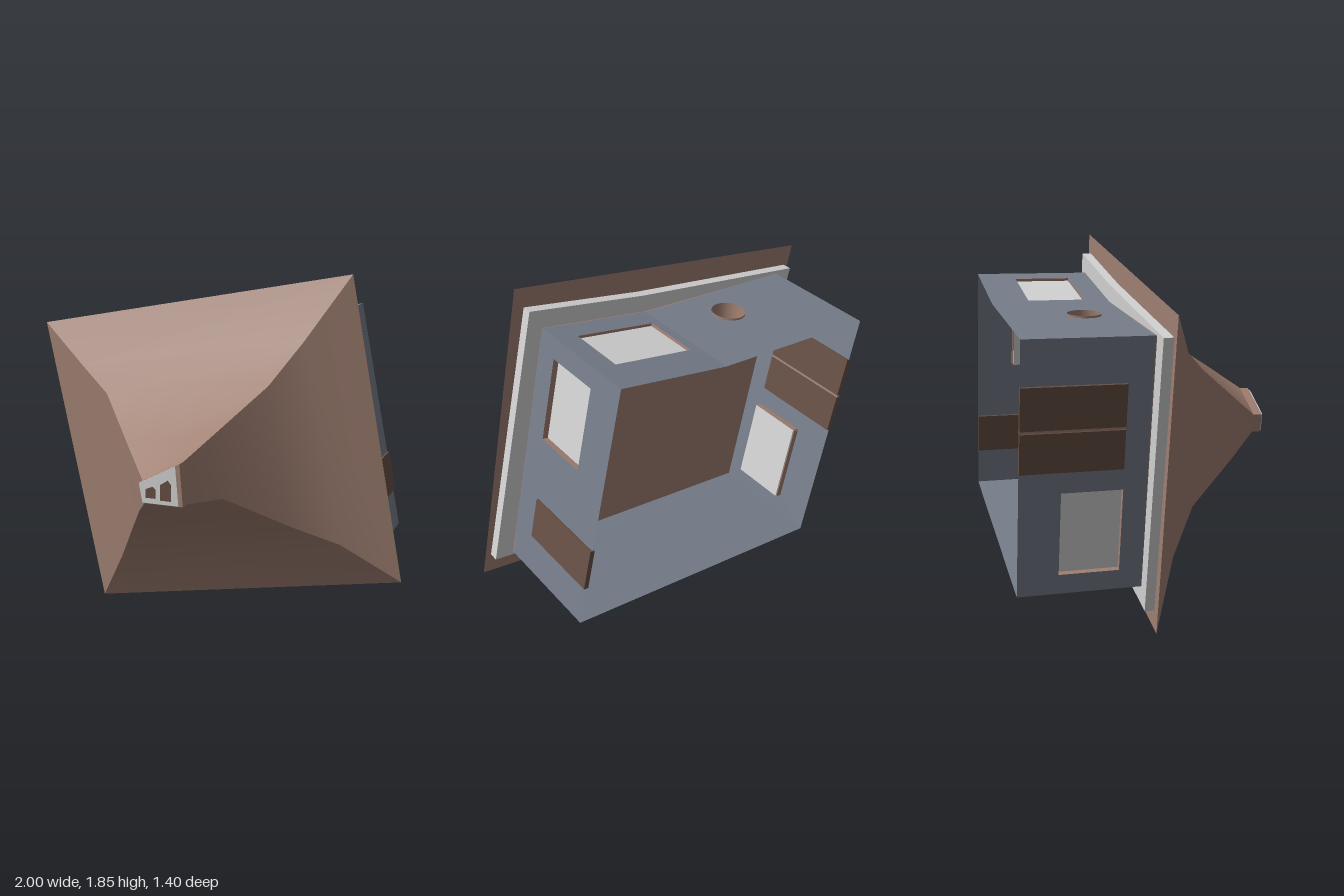
import * as THREE from 'three';

const mat = (name, color) => {
  const m = new THREE.MeshStandardMaterial({ color, side: THREE.DoubleSide });
  m.name = name;
  return m;
};

export function createModel() {
  const model = new THREE.Group();
  model.name = 'tippedHouse';
  const brown = mat('roof brown', 0xa08072);
  const grey = mat('wall grey', 0x767d8a);
  const light = mat('light grey', 0xd2d2d2);
  const dark = mat('shutter brown', 0x664f45);

  const add = (parent, name, geo, material) => {
    const m = new THREE.Mesh(geo, material);
    m.name = name;
    parent.add(m);
    return m;
  };
  const polygon = (pts) => new THREE.Shape(pts.map(([x, y]) => new THREE.Vector2(x, y)));
  // Flat-sided slab with an outline in x and y, between two depths
  const slab = (name, pts, z0, z1, material) => {
    const g = new THREE.ExtrudeGeometry(polygon(pts), { depth: z1 - z0, bevelEnabled: false });
    return add(model, name, g.translate(0, 0, z0), material);
  };

  // Roof: four curved corner lines, one sheet between each pair
  const levels = [-0.05, 0.09, 0.23, 0.5, 0.65];
  const hips = [
    [[-1, 1.54], [-0.71, 1.34], [-0.5, 1.23], [-0.25, 1.03], [-0.11, 0.92]],
    [[0.7, 1.85], [0.5, 1.53], [0.37, 1.33], [0.2, 1.14], [0.1, 1.03]],
    [[1, 0.31], [0.71, 0.52], [0.5, 0.63], [0.24, 0.825], [0.11, 0.825]],
    [[-0.69, 0], [-0.5, 0.31], [-0.37, 0.52], [-0.2, 0.715], [-0.09, 0.825]],
  ];
  hips.forEach((a, k) => {
    const b = hips[(k + 1) % 4];
    const pos = [], idx = [];
    levels.forEach((z, i) => {
      pos.push(...a[i], z, ...b[i], z);
      if (i) {
        const p = 2 * i - 2;
        idx.push(p, p + 2, p + 1, p + 1, p + 2, p + 3);
      }
    });
    const g = new THREE.BufferGeometry();
    g.setAttribute('position', new THREE.Float32BufferAttribute(pos, 3));
    g.setIndex(idx);
    g.computeVertexNormals();
    add(model, 'roofSide', g, brown);
  });
  add(model, 'roofUnderside', new THREE.ShapeGeometry(polygon(hips.map((h) => h[0]))), brown)
    .position.z = -0.05;

  // Block at the roof tip, with a light face and two dark marks
  slab('roofTip', [[-0.11, 0.92], [0.1, 1.03], [0.115, 0.825], [-0.09, 0.825]], 0.64, 0.695, brown);
  slab('tipFace', [[-0.105, 0.922], [0.08, 1.02], [0.095, 0.828], [-0.088, 0.828]], 0.695, 0.7, light);
  [[-0.045, 0.882, 0.025, 0.028], [0.032, 0.898, 0.027, 0.05]].forEach(([x, y, w, h]) =>
    slab('tipMark', [[x - w, y - h], [x + w, y - h], [x + w, y + h * 0.6],
      [x + w * 0.4, y + h], [x - w, y + h * 0.5]], 0.7, 0.703, dark));

  // Eaves board and the brown ceiling inside the open body
  slab('eavesBoard', [[0.95, 0.41], [0.66, 1.745], [0.03, 1.61], [-0.95, 1.44], [-0.66, 0.105]],
    -0.1, -0.052, light);
  const corners = [[0.85, 0.41], [0.6, 1.64], [0.02, 1.52], [-0.85, 1.44], [-0.6, 0.21]];
  slab('ceiling', corners, -0.106, -0.1, brown);

  // Walls: local x runs along the edge, local y is depth, local z points outward
  const makeWall = (k, name, holes = [], round = null) => {
    const [x0, y0] = corners[k], [x1, y1] = corners[(k + 1) % 5];
    const len = Math.hypot(x1 - x0, y1 - y0);
    const u = new THREE.Vector3((x1 - x0) / len, (y1 - y0) / len, 0);
    const z = new THREE.Vector3(0, 0, 1);
    const g = new THREE.Group();
    g.name = name;
    g.quaternion.setFromRotationMatrix(new THREE.Matrix4().makeBasis(u, z, u.clone().cross(z)));
    g.position.set(x0, y0, 0);
    model.add(g);
    const s = polygon([[0, -0.7], [len, -0.7], [len, -0.1], [0, -0.1]]);
    holes.forEach(([a, b, c, d]) =>
      s.holes.push(new THREE.Path(polygon([[a, c], [a, d], [b, d], [b, c]]).getPoints())));
    if (round) s.holes.push(new THREE.Path().absarc(round[0], round[1], round[2], 0, Math.PI * 2, true));
    add(g, name + 'Panel', new THREE.ShapeGeometry(s, 16), grey);
    return g;
  };
  const box = (g, name, [a, b, c, d], n0, n1, material) => {
    const geo = new THREE.BoxGeometry(b - a, d - c, n1 - n0);
    geo.translate((a + b) / 2, (c + d) / 2, (n0 + n1) / 2);
    add(g, name, geo, material);
  };
  // Recessed pane with a brown reveal around it
  const addWindow = (g, [a, b, c, d], depth) => {
    const t = 0.004;
    [[a - t, a, c, d], [b, b + t, c, d], [a, b, c - t, c], [a, b, d, d + t]].forEach((r) =>
      box(g, 'windowReveal', r, -depth, -0.001, brown));
    box(g, 'windowPane', [a, b, c, d], -depth - 0.005, -depth, light);
  };

  const sideWindow = [0.734, 1.155, -0.505, -0.215];
  const right = makeWall(0, 'leftWall', [sideWindow]);
  addWindow(right, sideWindow, 0.03);
  box(right, 'shutter', [0.204, 0.418, -0.7, -0.25], -0.012, 0.012, dark);

  const left = makeWall(3, 'rightWall', [sideWindow]);
  addWindow(left, sideWindow, 0.03);
  [[0.215, 0.418], [0.432, 0.625]].forEach(([a, b]) =>
    box(left, 'shutter', [a, b, -0.7, -0.22], -0.012, 0.014, dark));
  box(left, 'shutterRail', [0.418, 0.432, -0.7, -0.22], -0.008, 0.008, brown);

  const topWindow = [0.112, 0.541, -0.51, -0.22];
  addWindow(makeWall(1, 'topWallA', [topWindow]), topWindow, 0.015);
  makeWall(4, 'bottomWall');

  // Pipe sunk through the top wall
  const top = makeWall(2, 'topWallB', [], [0.352, -0.31, 0.083]);
  const pipe = new THREE.CylinderGeometry(0.083, 0.083, 0.1, 20, 1, true);
  add(top, 'pipe', pipe.rotateX(Math.PI / 2).translate(0.352, -0.31, -0.04), brown);
  add(top, 'pipeEnd', new THREE.CircleGeometry(0.083, 20).translate(0.352, -0.31, -0.08), brown);

  return model;
}
